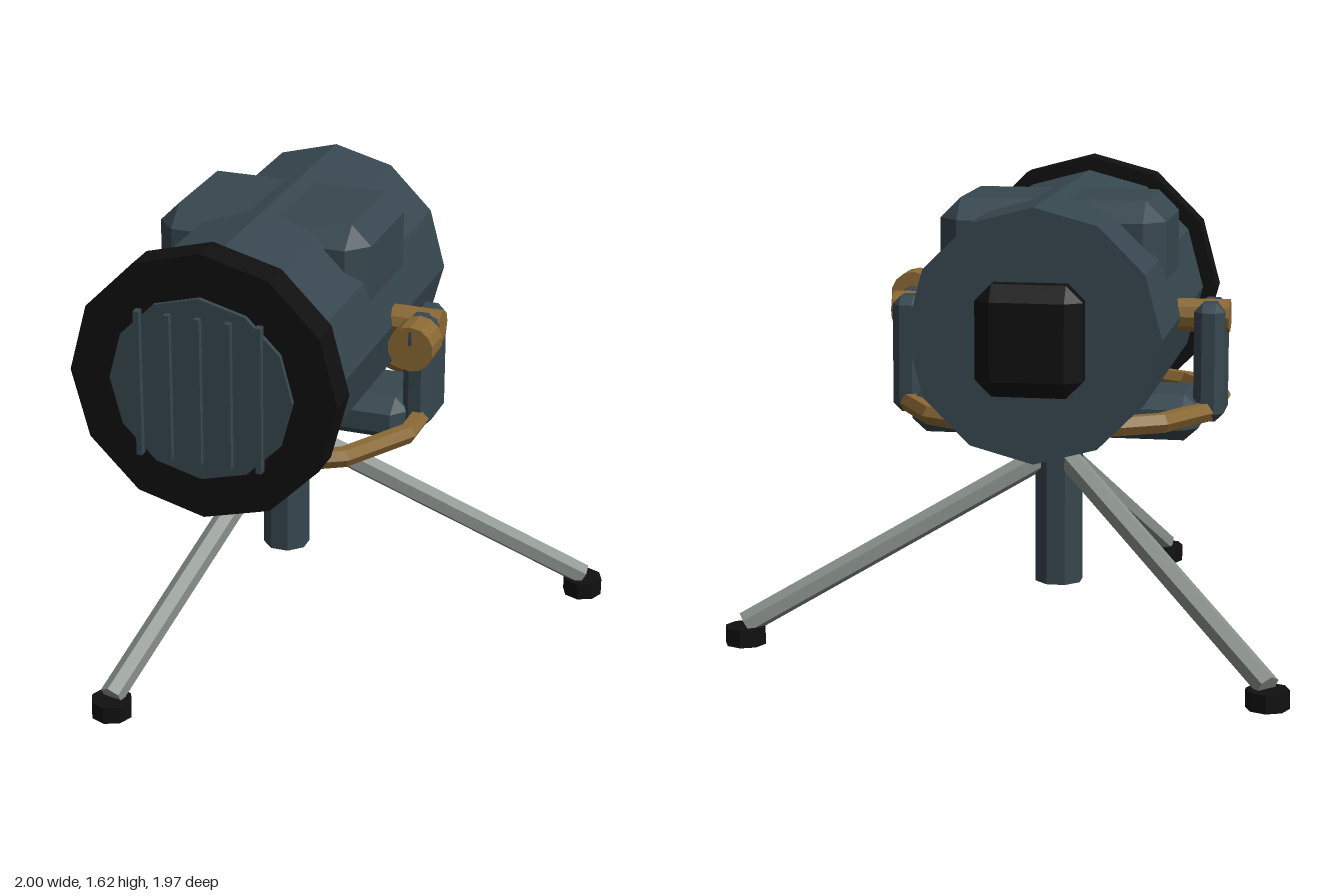
import * as THREE from 'three';
import { ConvexGeometry } from 'three/addons/geometries/ConvexGeometry.js';

const flat = (name, color) => {
  const m = new THREE.MeshStandardMaterial({ color, flatShading: true });
  m.name = name;
  return m;
};

export function createModel() {
  const group = new THREE.Group();
  const slate = flat('slate', 0x37474f);
  const black = flat('black', 0x101010);
  const brass = flat('brass', 0x8b6934);
  const steel = flat('steel', 0x89918c);
  const CX = -0.125, CY = 1.145; // barrel axis

  const add = (name, geometry, material, x = 0, y = 0, z = 0) => {
    const mesh = new THREE.Mesh(geometry, material);
    mesh.name = name;
    mesh.position.set(x, y, z);
    group.add(mesh);
    return mesh;
  };

  // Box with cut edges; a, b, c are the cuts along x, y, z
  const chamferBox = (w, h, d, a, b, c) => {
    const pts = [];
    for (const i of [-0.5, 0.5]) for (const j of [-0.5, 0.5]) for (const k of [-0.5, 0.5]) {
      const x = i * w, y = j * h, z = k * d;
      const ix = x - 2 * i * a, iy = y - 2 * j * b, iz = z - 2 * k * c;
      pts.push(new THREE.Vector3(x, iy, iz), new THREE.Vector3(ix, y, iz), new THREE.Vector3(ix, iy, z));
    }
    return new ConvexGeometry(pts);
  };

  // Cylinder along z with a corner pointing up
  const drum = (name, r, z0, z1, material, x = CX, y = CY, sides = 12) =>
    add(name, new THREE.CylinderGeometry(r, r, z1 - z0, sides).rotateX(Math.PI / 2), material, x, y, (z0 + z1) / 2);

  // Barrel, front rim and grille
  drum('barrel', 0.425, -0.695, 0.53, slate);
  drum('frontRim', 0.475, 0.52, 0.64, black);
  drum('frontPanel', 0.325, 0.635, 0.657, slate);
  for (let i = -2; i <= 2; i++) {
    add('grilleBar', new THREE.BoxGeometry(0.02, 0.52, 0.03), slate, CX + i * 0.107, CY, 0.665);
  }

  // Rear cap and saddle housing
  add('rearCap', chamferBox(0.355, 0.37, 0.13, 0.055, 0.055, 0.04), black, CX, CY, -0.755);
  add('saddleHousing', chamferBox(0.775, 0.5, 0.51, 0.07, 0.07, 0.075), slate, CX, 1.305, -0.13);

  // Yoke with two arms and pivot bolts
  add('yokeBase', chamferBox(1.0, 0.16, 0.34, 0.05, 0.045, 0.06), slate, CX, 0.81, -0.16);
  for (const s of [-1, 1]) {
    add('yokeArm', chamferBox(0.105, 0.41, 0.225, 0.03, 0.03, 0.035), slate, CX + s * 0.527, 0.993, -0.14);
    add('pivotBolt', new THREE.CylinderGeometry(0.058, 0.058, 0.18, 10).rotateZ(Math.PI / 2),
      brass, CX + s * 0.5, CY, -0.14);
  }

  // Guard ring around the yoke, partly inside the barrel
  const ring = new THREE.TorusGeometry(0.558, 0.036, 6, 12).rotateX(Math.PI / 2).rotateY(Math.PI / 12);
  add('guardRing', ring, brass, CX, 0.825, -0.055);

  // Focus knob on the left arm
  drum('knobStem', 0.032, -0.1, 0.04, slate, 0.435, 1.165, 8);
  drum('focusKnob', 0.081, 0.025, 0.138, brass, 0.435, 1.165, 14);
  add('knobMark', new THREE.BoxGeometry(0.01, 0.05, 0.008), slate, 0.435, 1.205, 0.14);

  // Centre post
  const post = add('centrePost', new THREE.CylinderGeometry(0.085, 0.085, 0.57, 8), slate, CX, 0.475, -0.16);
  post.rotation.y = Math.PI / 8;

  // Tripod legs and feet
  const hub = new THREE.Vector3(CX, 0.665, -0.16);
  for (const [x, z] of [[-0.928, -0.915], [0.927, -0.497], [-0.368, 0.908]]) {
    const end = new THREE.Vector3(x, 0.07, z);
    const dir = end.clone().sub(hub);
    const mid = hub.clone().add(end).multiplyScalar(0.5);
    const leg = add('tripodLeg', new THREE.CylinderGeometry(0.042, 0.042, dir.length(), 6), steel, mid.x, mid.y, mid.z);
    leg.rotation.order = 'YXZ';
    leg.rotation.set(Math.acos(dir.y / dir.length()), Math.atan2(dir.x, dir.z), 0);
    add('foot', new THREE.CylinderGeometry(0.072, 0.072, 0.062, 8), black, x, 0.031, z);
  }
  return group;
}
